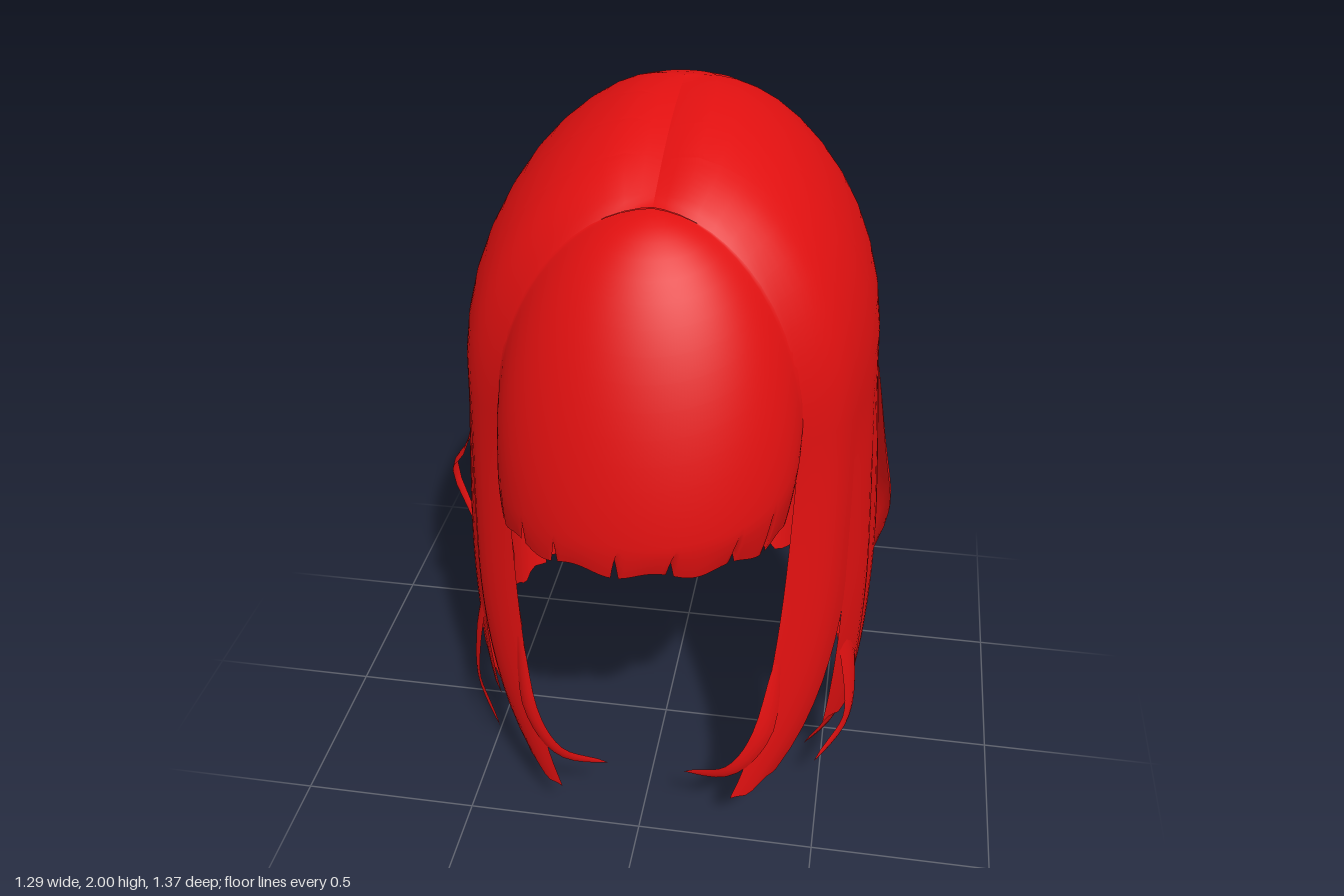
import * as THREE from 'three';

const hairRed = new THREE.MeshStandardMaterial({ color: 0xe01010, side: THREE.DoubleSide });
hairRed.name = 'hairRed';

const { lerp, clamp, smoothstep } = THREE.MathUtils;
const RIM_Y = 1.3;
const PART_X = 0.015; // the parting sits slightly off centre

// Plan outline of one half at the rim, from the face edge (u = 0) to the back centre (u = 8)
const rim = new THREE.SplineCurve([
  [0.38, 0.38], [0.485, 0.275], [0.54, 0.1], [0.555, -0.1], [0.535, -0.3],
  [0.462, -0.455], [0.335, -0.57], [0.18, -0.632], [0, -0.65],
].map(p => new THREE.Vector2(...p)));

// How the outline swells and narrows from the rim down to the floor
const swell = values => new THREE.SplineCurve(values.map((k, i) => new THREE.Vector2(i, k)));
const sideSwell = swell([1, 1.03, 1.05, 1.03, 0.97]);
const backSwell = swell([1, 1.05, 1, 0.86, 0.71]);

// Grid surface from a rule f(s, t) -> [x, y, z]
function sheet(name, cols, rows, f) {
  const pos = [], index = [];
  for (let j = 0; j <= rows; j++)
    for (let i = 0; i <= cols; i++) pos.push(...f(i / cols, j / rows));
  for (let j = 0; j < rows; j++)
    for (let i = 0; i < cols; i++) {
      const a = j * (cols + 1) + i, b = a + cols + 1;
      index.push(a, b, a + 1, a + 1, b, b + 1);
    }
  const g = new THREE.BufferGeometry();
  g.setAttribute('position', new THREE.Float32BufferAttribute(pos, 3));
  g.setIndex(index);
  g.computeVertexNormals();
  const mesh = new THREE.Mesh(g, hairRed);
  mesh.name = name;
  return mesh;
}

// Crown: quarter ellipse from the parting (t = 0) to the rim (t = 1)
function crown(u, t) {
  const a = Math.pow(t, 1.2) * Math.PI / 2, r = rim.getPoint(u / 8);
  const z0 = lerp(0.3, -0.2, Math.min(1, u / 5));
  const y0 = 2.0 - 0.64 * (z0 + 0.2) ** 2;
  const x = r.x * Math.sin(a);
  const crease = u < 5 ? 0.03 * Math.sqrt(Math.sin(Math.PI * u / 5)) : 0;
  const y = RIM_Y + (y0 - RIM_Y) * Math.cos(a) + crease * (0.5 * Math.cos(a) - Math.exp(-((x / 0.05) ** 2)));
  return [x, y, lerp(z0, r.y, Math.sin(a))];
}

// Hanging hair below the rim; the face edge sweeps forward and inward
function hang(u, y) {
  const r = rim.getPoint(clamp(u / 8, 0, 1)), d = clamp((RIM_Y - y) / RIM_Y, 0, 1);
  const k = lerp(sideSwell.getPoint(d).y, backSwell.getPoint(d).y, smoothstep(u, 4, 7));
  const front = clamp(1 - u / 2, 0, 1);
  const scale = lerp(k, 1, front);
  return [r.x * scale - front * (0.03 * d + 0.2 * d ** 4), y, r.y * scale + front * 0.17 * d ** 1.8];
}

// Lock: [u start, u end, hem height, anchor of the taper, tip width, bulge, overlap]
const LOCKS = [
  [0, 1.4, 0.13, 0.15, 0.42, 0.014, 0],
  [1.4, 2.5, 0.2, 0.4, 0.8, 0.01, 0.1],
  [2.5, 3.6, 0.09, 0.5, 0.85, 0.014, 0.15],
  [3.6, 4.6, 0.23, 0.5, 0.9, 0.01, 0.15],
  [4.6, 5.6, 0.28, 0.5, 0.9, 0.014, 0.15],
  [5.6, 6.8, 0.29, 0.5, 0.9, 0.01, 0.12],
  [6.8, 8, 0.31, 0.5, 0.85, 0.012, 0],
];

function lock([u0, u1, hem, lean, tip, bulge, overlap], side) {
  const split = 0.42;
  return sheet('lock', 8, 30, (s, t) => {
    const u = lerp(u0, u1, s);
    if (t <= split) {
      const [x, y, z] = crown(u, t / split);
      return [side * x, y, z];
    }
    const d = (t - split) / (1 - split);
    const width = 1 + overlap * smoothstep(d, 0, 0.4) - (1 - tip) * clamp((d - 0.5) / 0.5, 0, 1) ** 1.6;
    const end = hem + side * 0.012 + 0.06 * Math.abs(s - lean) + 0.01 * Math.sin(s * 11);
    const [x, y, z] = hang(lerp(u0, u1, lean + (s - lean) * width), lerp(RIM_Y, end, d));
    const puff = 1 + (bulge * 2 * Math.sin(Math.PI * s) - 0.01) * Math.sin(d * Math.PI * 0.7);
    return [side * x * puff, y, z * puff];
  });
}

// Inner layer lining the back, its ragged hem rising towards the sides
function lining(side) {
  return sheet('innerLayer', 28, 14, (s, t) => {
    const u = lerp(1.6, 8, s), zig = Math.abs(((s * 7) % 1) - 0.5);
    const hem = Math.min(0.88, 0.58 + 1.1 * (1 - s) ** 1.4) + 0.1 * zig * (1 - 0.6 * s);
    const [x, y, z] = t < 0.3 ? crown(u, 0.6 + t / 0.3 * 0.4) : hang(u, lerp(RIM_Y, hem, (t - 0.3) / 0.7));
    return [side * x * 0.95, y - 0.02, z * 0.95];
  });
}

// Fringe: rounded panel under the crown arch, notched along its hem
function fringe() {
  const cols = 120, notches = [15, 29, 41, 58, 72, 89, 101];
  return sheet('fringe', cols, 22, (s, t) => {
    const a = (s - 0.5) * Math.PI, c = Math.max(0, Math.cos(a));
    const rx = 0.385 * Math.sin(a), rz = 0.375 + 0.312 * c;
    const base = lerp(1.3, 1.12, Math.sqrt(c));
    if (t <= 0.75) {
      const v = t / 0.75 * Math.PI / 2;
      const drop = Math.pow(Math.max(0, Math.cos(v)), 1 + 0.35 * c);
      return [PART_X + rx * Math.sin(v), base + (1.838 - base) * drop, lerp(0.3, rz, Math.sin(v))];
    }
    const d = (t - 0.75) / 0.25, col = Math.round(s * cols);
    const hem = notches.includes(col) ? 1.095 : 1.04 + 0.01 * Math.sin(col * 0.3);
    const tuck = 1 - 0.04 * d * d;
    return [PART_X * (1 - d) + rx * tuck, lerp(base, hem, d), rz * (1 - 0.015 * d * d)];
  });
}

// Loose wisp: curved blade with a ridge, tapering to a point
function wisp(points, width, side) {
  const curve = new THREE.CatmullRomCurve3(points.map(p => new THREE.Vector3(...p)));
  return sheet('wisp', 4, 14, (s, t) => {
    const p = curve.getPoint(t), tan = curve.getTangent(t);
    const out = new THREE.Vector3(p.x, 0, p.z).normalize();
    const across = new THREE.Vector3().crossVectors(tan, out).normalize();
    const w = width * Math.pow(1 - t, 0.6) * Math.min(1, 0.4 + 2 * t);
    p.addScaledVector(across, (s - 0.5) * w).addScaledVector(out, 0.12 * w * Math.sin(Math.PI * s));
    return [side * p.x, p.y, p.z];
  });
}

// Wisps on both sides: path and width
const WISPS = [
  [[[0.53, 0.6, 0.12], [0.55, 0.35, 0.12], [0.51, 0.15, 0.1], [0.43, 0, 0.08]], 0.1],
  [[[0.51, 0.6, 0.2], [0.55, 0.4, 0.18], [0.55, 0.24, 0.21], [0.47, 0.15, 0.31]], 0.12],
  [[[0.36, 0.6, 0.42], [0.32, 0.36, 0.47], [0.24, 0.25, 0.49], [0.11, 0.2, 0.46]], 0.09],
  [[[0.54, 0.6, -0.1], [0.55, 0.4, -0.12], [0.53, 0.25, -0.06], [0.5, 0.09, -0.02]], 0.16],
  [[[0.5, 0.55, -0.25], [0.47, 0.4, -0.3], [0.42, 0.32, -0.4], [0.38, 0.28, -0.5]], 0.12],
];

// Wisps found on one side only: side, path and width
const SINGLE_WISPS = [
  [-1, [[0.54, 1.1, 0], [0.59, 0.93, -0.02], [0.645, 0.83, -0.05], [0.58, 0.62, -0.03], [0.55, 0.42, 0]], 0.07],
  [1, [[0.56, 1.2, -0.2], [0.59, 0.95, -0.18], [0.62, 0.77, -0.16], [0.58, 0.6, -0.12], [0.54, 0.42, -0.08]], 0.24],
  [1, [[0.38, 0.95, -0.52], [0.41, 0.72, -0.53], [0.43, 0.65, -0.55], [0.46, 0.68, -0.59]], 0.06],
];

export function createModel() {
  const model = new THREE.Group();
  model.name = 'hair';
  for (const side of [1, -1]) {
    const half = new THREE.Group();
    half.name = side > 0 ? 'leftHair' : 'rightHair';
    half.position.x = PART_X;
    LOCKS.forEach(l => half.add(lock(l, side)));
    WISPS.forEach(([points, width]) => half.add(wisp(points, width, side)));
    half.add(lining(side));
    model.add(half);
  }
  SINGLE_WISPS.forEach(([side, points, width]) => model.add(wisp(points, width, side)));
  model.add(fringe());
  return model;
}
